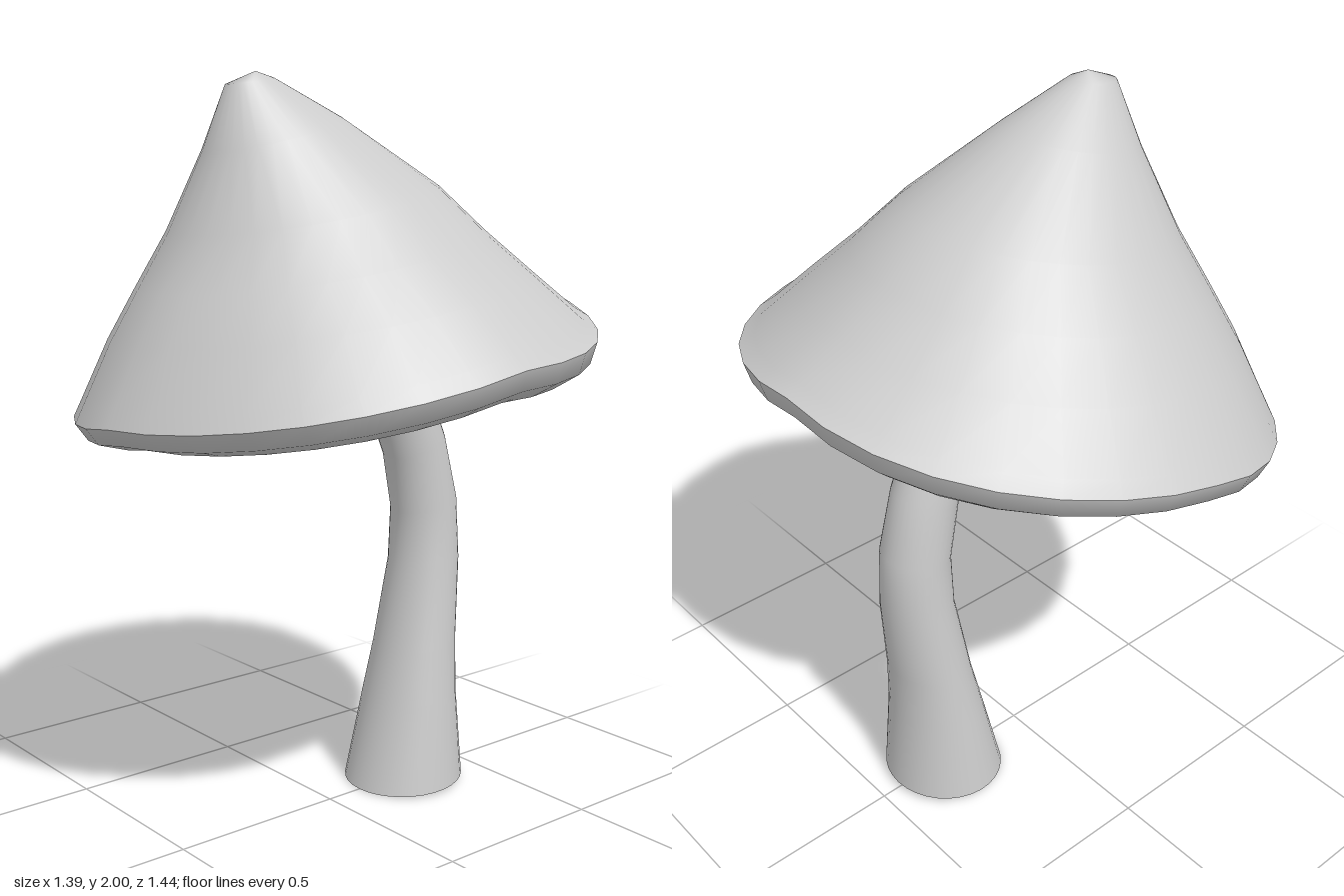
import * as THREE from 'three';

const SEGMENTS = 32;

// Skin a surface over rings given as [xLeft, yLeft, xRight, yRight, halfDepth, waviness]
function loft(rings) {
  const pos = [], idx = [];
  rings.forEach(([xl, yl, xr, yr, rz, wave = 0], i) => {
    for (let j = 0; j < SEGMENTS; j++) {
      const a = (j / SEGMENTS) * Math.PI * 2;
      const c = Math.cos(a), s = Math.sin(a);
      const corner = 2 * s * c;
      // a wavy ring sags along the back and at two opposite corners
      const sag = s > 0
        ? 0.01 * s - 0.06 * Math.max(0, corner)
        : 0.035 * s - 0.04 * Math.max(0, corner);
      // and is fuller at one corner, slimmer on the low side
      const bulge = c > 0
        ? 0.05 * c * Math.max(0, -corner)
        : 0.035 * c * Math.abs(corner);
      const r = 1 + wave * bulge;
      pos.push(
        (xl + xr) / 2 + ((xr - xl) / 2) * c * r,
        (yl + yr) / 2 + ((yr - yl) / 2) * c + wave * sag,
        rz * s * r
      );
      if (i < rings.length - 1) {
        const k = (j + 1) % SEGMENTS;
        const p = i * SEGMENTS + j, q = i * SEGMENTS + k;
        idx.push(p, p + SEGMENTS, q, q, p + SEGMENTS, q + SEGMENTS);
      }
    }
  });
  const g = new THREE.BufferGeometry();
  g.setAttribute('position', new THREE.Float32BufferAttribute(pos, 3));
  g.setIndex(idx);
  g.computeVertexNormals();
  return g;
}

export function createModel() {
  const group = new THREE.Group();
  const material = new THREE.MeshStandardMaterial({ color: 0xcccccc, side: THREE.DoubleSide });

  const addPart = (name, rings) => {
    const mesh = new THREE.Mesh(loft(rings), material);
    mesh.name = name;
    group.add(mesh);
  };

  // Bent stem, open at the foot, running up into the hollow of the cap
  addPart('stem', [
    [0.11, 0.0, 0.447, 0.02, 0.174],
    [0.17, 0.25, 0.427, 0.28, 0.145],
    [0.205, 0.4, 0.43, 0.43, 0.127],
    [0.25, 0.65, 0.449, 0.66, 0.105],
    [0.253, 0.8, 0.442, 0.84, 0.095],
    [0.22, 0.96, 0.397, 1.02, 0.088],
    [0.165, 1.09, 0.345, 1.14, 0.085],
    [0.11, 1.19, 0.28, 1.24, 0.083],
    [0.04, 1.29, 0.19, 1.37, 0.08],
  ]);

  // Shared edge where the cone meets the underside
  const rim = [-0.695, 1.145, 0.692, 1.445, 0.72, 1];

  // Underside: hollow ceiling, steep wall, then the broad lip out to the rim
  addPart('capUnderside', [
    [0.05, 1.33, 0.05, 1.33, 0, 0],
    [-0.27, 1.275, 0.35, 1.4, 0.33, 0.3],
    [-0.37, 1.2, 0.45, 1.385, 0.41, 0.7],
    [-0.415, 1.12, 0.495, 1.34, 0.46, 1],
    [-0.49, 1.085, 0.55, 1.315, 0.53, 1],
    [-0.58, 1.08, 0.62, 1.33, 0.62, 1],
    [-0.66, 1.1, 0.675, 1.385, 0.7, 1],
    rim,
  ]);

  // Leaning cone of the cap from the rim to the tip
  addPart('capTop', [
    rim,
    [-0.675, 1.19, 0.65, 1.465, 0.685, 0.95],
    [-0.6, 1.34, 0.53, 1.54, 0.575, 0.6],
    [-0.53, 1.46, 0.4, 1.63, 0.46, 0.3],
    [-0.45, 1.6, 0.27, 1.735, 0.345, 0.1],
    [-0.375, 1.8, 0.0, 1.895, 0.165, 0],
    [-0.325, 1.965, -0.19, 1.985, 0.05, 0],
    [-0.24, 2.0, -0.24, 2.0, 0, 0],
  ]);

  return group;
}
